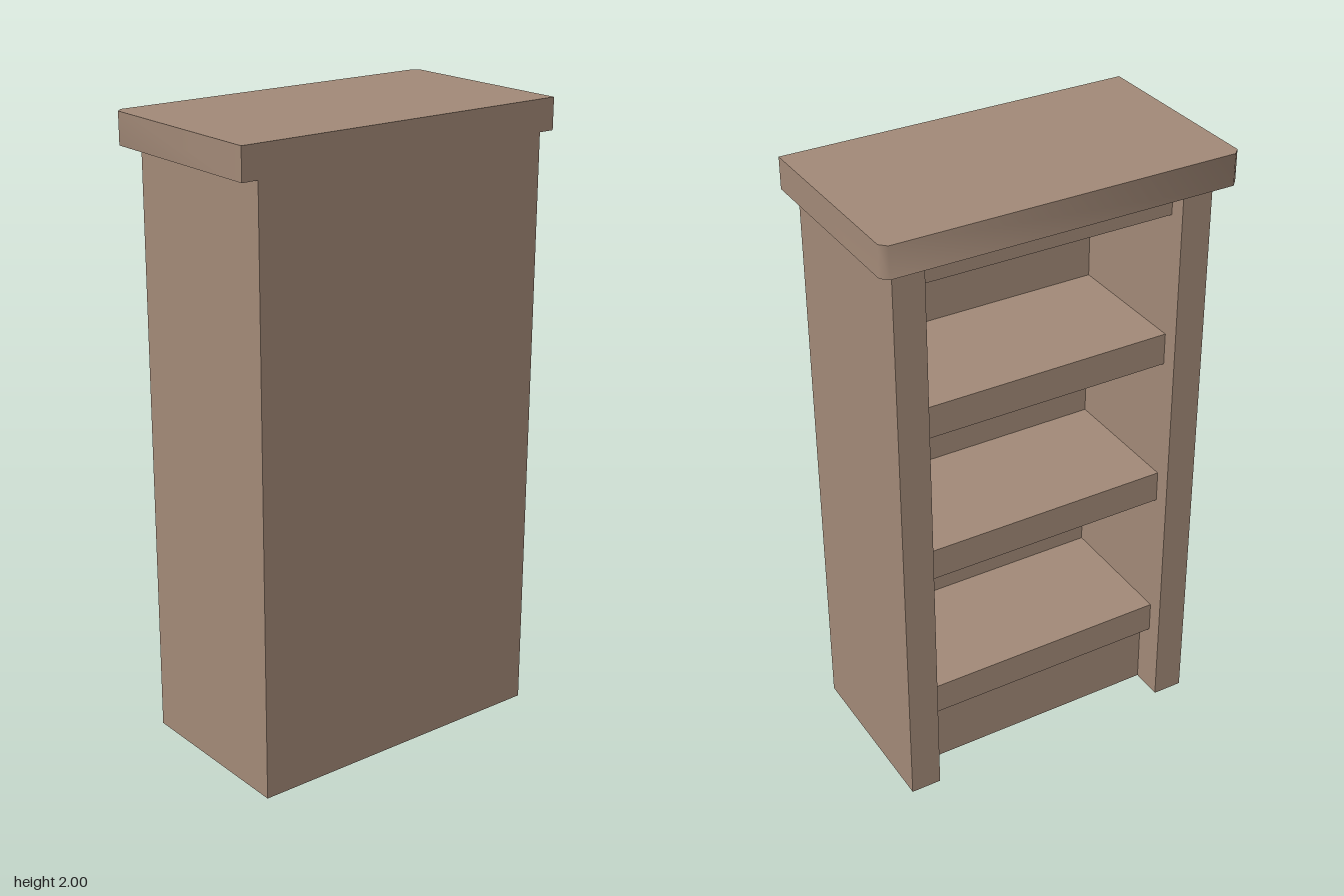
import * as THREE from 'three';
import { toCreasedNormals } from 'three/addons/utils/BufferGeometryUtils.js';

export function createModel() {
  const model = new THREE.Group();
  model.name = 'bookcase';
  const wood = new THREE.MeshStandardMaterial({ color: 0xa38a78 });
  wood.name = 'brown wood';

  const FRONT = -0.262, BACK = 0.316, SIDE = 0.518, INNER = 0.418, BODY_TOP = 1.9;
  const BACK_INNER = 0.222;

  // Box given by its lower and upper corners
  function box(name, x0, x1, y0, y1, z0, z1) {
    const mesh = new THREE.Mesh(new THREE.BoxGeometry(x1 - x0, y1 - y0, z1 - z0), wood);
    mesh.position.set((x0 + x1) / 2, (y0 + y1) / 2, (z0 + z1) / 2);
    mesh.name = name;
    model.add(mesh);
  }

  // Side panels, back panel and recessed solid plinth
  box('leftSidePanel', FRONT, BACK, 0, BODY_TOP, INNER, SIDE);
  box('rightSidePanel', FRONT, BACK, 0, BODY_TOP, -SIDE, -INNER);
  box('backPanel', BACK_INNER, BACK, 0, BODY_TOP, -INNER, INNER);
  box('plinth', -0.155, BACK_INNER, 0, 0.245, -INNER, INNER);

  // Shelves, the uppermost one under the top board
  [0.35, 0.885, 1.395, BODY_TOP].forEach((top, i) =>
    box('shelf' + (i + 1), -0.209, BACK_INNER, top - 0.105, top, -INNER, INNER));

  // Overhanging top board with its two open-side corners cut, softly shaded round them
  const X = 0.317, Z = 0.571, CUT = 0.021;
  const outline = new THREE.Shape([
    [BACK, -Z], [BACK, Z], [-X + CUT, Z], [-X, Z - CUT], [-X, -Z + CUT], [-X + CUT, -Z],
  ].map(([x, z]) => new THREE.Vector2(x, z)));
  const slab = new THREE.ExtrudeGeometry(outline, { depth: 2 - BODY_TOP, bevelEnabled: false });
  slab.rotateX(-Math.PI / 2);
  const topBoard = new THREE.Mesh(toCreasedNormals(slab, 1), wood);
  topBoard.position.y = BODY_TOP;
  topBoard.name = 'topBoard';
  model.add(topBoard);

  return model;
}
